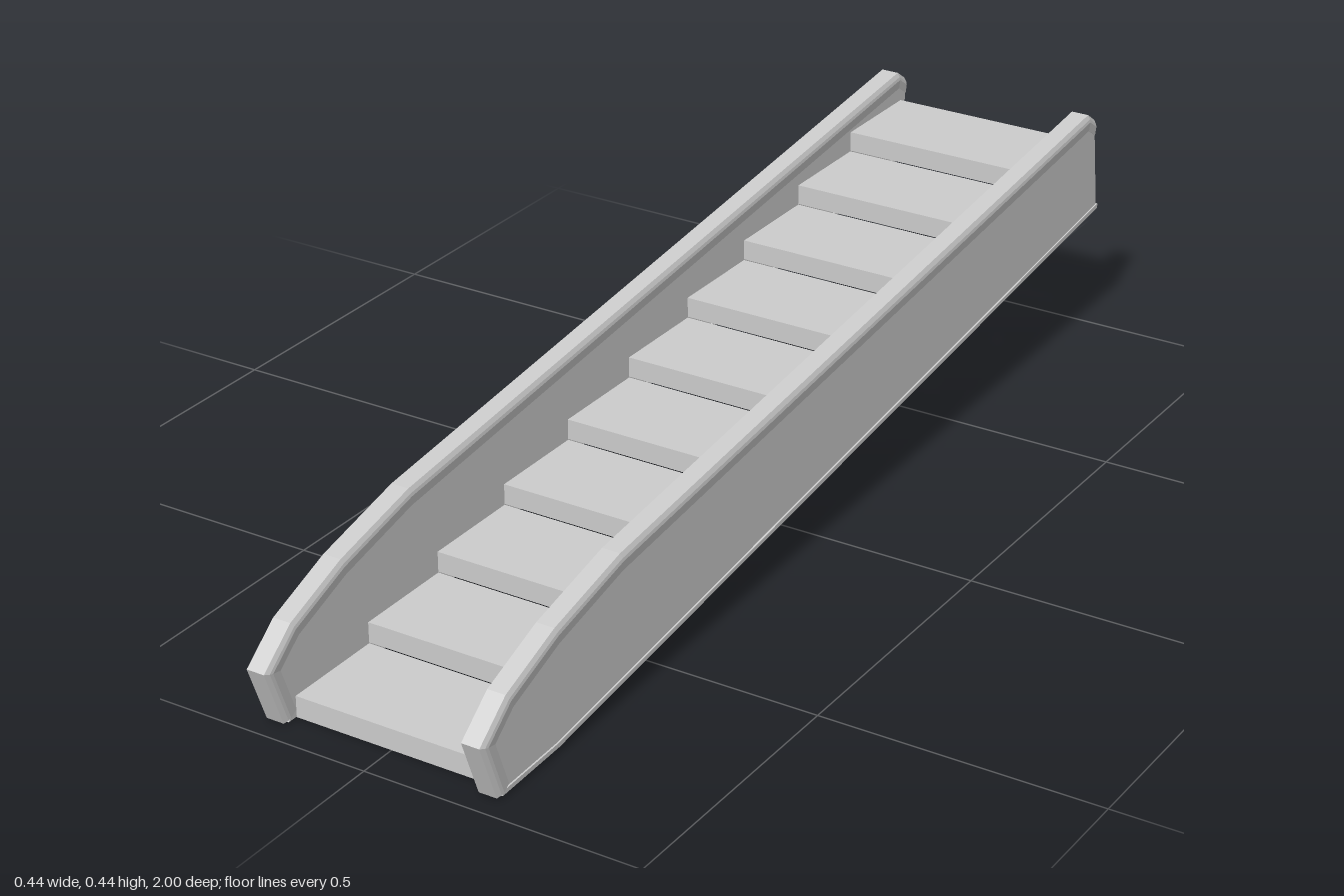
import * as THREE from 'three';

const material = new THREE.MeshStandardMaterial({ color: 0xcccccc, flatShading: true, side: THREE.DoubleSide });

// Upper edge of the side wall as [z, y], from the front foot over the top to the rear.
const EDGE = [[0.96, 0.003], [1.0, 0.11], [0.93, 0.167], [0.8, 0.217], [0.62, 0.26], [-0.95, 0.44], [-0.976, 0.422]];

// Mitred inward direction at each point of the edge.
const INWARD = EDGE.map((p, i) => {
  if (i >= EDGE.length - 2) return new THREE.Vector2(-0.1, -1);
  const normal = (a, b) => {
    const t = new THREE.Vector2(b[0] - a[0], b[1] - a[1]).normalize();
    return new THREE.Vector2(-t.y, t.x);
  };
  const next = normal(p, EDGE[i + 1]);
  const prev = i ? normal(EDGE[i - 1], p) : next;
  const mitre = prev.clone().add(next).normalize();
  return mitre.divideScalar(mitre.dot(next));
});

const inset = (d) => EDGE.map((p, i) => [p[0] + INWARD[i].x * d, p[1] + INWARD[i].y * d]);

function addMesh(parent, name, geometry) {
  const mesh = new THREE.Mesh(geometry, material);
  mesh.name = name;
  parent.add(mesh);
  return mesh;
}

// Flat plate with a [z, y] outline, filling x0..x1.
function plate(points, x0, x1) {
  const shape = new THREE.Shape(points.map(([z, y]) => new THREE.Vector2(z, y)));
  const geometry = new THREE.ExtrudeGeometry(shape, { depth: x1 - x0, bevelEnabled: false });
  return geometry.rotateY(-Math.PI / 2).translate(x1, 0, 0);
}

// Chamfered section [across, depth] swept along the edge.
function handrail() {
  const half = [[0.0165, 0], [0.0205, 0.008], [0.0215, 0.014], [0.0185, 0.032]];
  const section = [...half, ...half.map(([u, d]) => [-u, d]).reverse()];
  const n = section.length;
  const positions = [];
  const indices = [];
  EDGE.forEach((p, i) => {
    for (const [u, d] of section) positions.push(u, p[1] + INWARD[i].y * d, p[0] + INWARD[i].x * d);
  });
  for (let i = 0; i < EDGE.length - 1; i++) {
    for (let j = 0; j < n; j++) {
      const a = i * n + j, b = i * n + (j + 1) % n;
      indices.push(a, b, b + n, a, b + n, a + n);
    }
  }
  const last = (EDGE.length - 1) * n;
  for (let j = 1; j < n - 1; j++) indices.push(0, j + 1, j, last, last + j, last + j + 1);
  const geometry = new THREE.BufferGeometry();
  geometry.setAttribute('position', new THREE.Float32BufferAttribute(positions, 3));
  geometry.setIndex(indices);
  const flat = geometry.toNonIndexed();
  flat.computeVertexNormals();
  return flat;
}

export function createModel() {
  const stairs = new THREE.Group();
  stairs.name = 'staircase';

  // Ten thin steps, each a riser and a tread, open underneath
  const steps = new THREE.Group();
  steps.name = 'steps';
  stairs.add(steps);
  const run = 0.189, rise = 0.0382, thick = 0.002;
  for (let i = 0; i < 10; i++) {
    const front = 0.93 - i * run, back = front - run;
    const bottom = i * rise + (i ? 0.0015 : 0), top = (i + 1) * rise;
    const profile = [
      [front, bottom], [front, top], [back, top],
      [back, top - thick], [front - thick, top - thick], [front - thick, bottom],
    ];
    addMesh(steps, 'step', plate(profile, -0.182, 0.182));
  }

  // Side walls: deep outer plate, shallow inner plate, rail wrapped over both
  const rim = inset(0.02);
  const outer = [...rim, [-0.976, 0.42], [-1.0, 0.238], [0.8, 0.009], [0.95, 0.003]];
  const inner = [...rim, [-0.974, 0.345], [0.745, 0.001], [0.95, 0.001]];
  const lip = [[-1.0, 0.238], [0.8, 0.009], [0.95, 0.003], [0.95, 0.011], [0.8, 0.017], [-1.0, 0.246]];
  for (const side of [1, -1]) {
    const wall = new THREE.Group();
    wall.name = side > 0 ? 'leftWall' : 'rightWall';
    const span = (a, b) => (side > 0 ? [a, b] : [-b, -a]);
    addMesh(wall, 'outerPanel', plate(outer, ...span(0.211, 0.2175)));
    addMesh(wall, 'innerPanel', plate(inner, ...span(0.1815, 0.188)));
    addMesh(wall, 'bottomLip', plate(lip, ...span(0.208, 0.2205)));
    addMesh(wall, 'handrail', handrail()).position.x = side * 0.2;
    stairs.add(wall);
  }
  return stairs;
}
